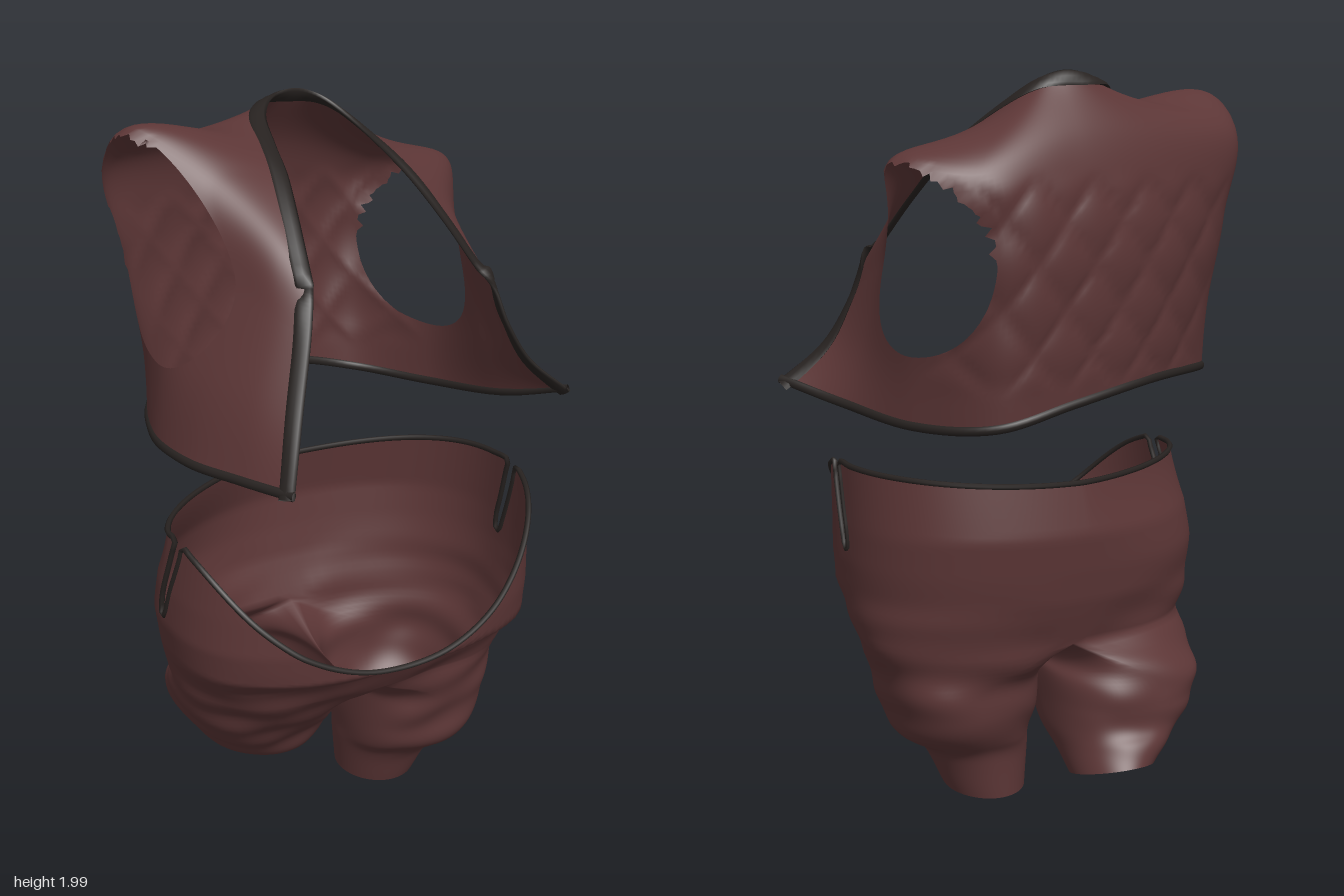
import * as THREE from 'three';
import { mergeGeometries, mergeVertices } from 'three/addons/utils/BufferGeometryUtils.js';

const { lerp, smoothstep, clamp } = THREE.MathUtils;
const V = (x, y, z) => new THREE.Vector3(x, y, z);
const spline = pts => new THREE.CatmullRomCurve3(pts, false, 'catmullrom', 0.5);
const hash = (a, b) => { const s = Math.sin(a * 127.1 + b * 311.7) * 43758.5; return s - Math.floor(s); };
const steps = n => Array.from({ length: n + 1 }, (_, i) => i / n);
const signedPow = (n, e) => Math.sign(n) * Math.abs(n) ** e;

// Grid surface from a rule at(s, t); cells may be skipped and the winding flipped
function sheet(ns, nt, at, { flip = false, gone = () => false } = {}) {
  const pos = [], idx = [];
  for (let j = 0; j <= nt; j++) for (let i = 0; i <= ns; i++) pos.push(...at(i / ns, j / nt).toArray());
  const tri = (...c) => {
    if (c.every(([i, j]) => gone(i / ns, j / nt))) return;
    const k = c.map(([i, j]) => j * (ns + 1) + i);
    idx.push(...(flip ? k.reverse() : k));
  };
  for (let j = 0; j < nt; j++) for (let i = 0; i < ns; i++) {
    tri([i, j], [i, j + 1], [i + 1, j]);
    tri([i + 1, j], [i, j + 1], [i + 1, j + 1]);
  }
  const g = new THREE.BufferGeometry();
  g.setAttribute('position', new THREE.Float32BufferAttribute(pos, 3));
  g.setIndex(idx);
  return g;
}

// Push the cloth along its normals to make folds or padding
function relief(g, height) {
  g.computeVertexNormals();
  const p = g.attributes.position, n = g.attributes.normal, a = V(0, 0, 0), b = V(0, 0, 0);
  for (let i = 0; i < p.count; i++) {
    a.fromBufferAttribute(p, i);
    b.fromBufferAttribute(n, i);
    a.addScaledVector(b, height(a));
    p.setXYZ(i, a.x, a.y, a.z);
  }
  g.computeVertexNormals();
  return g;
}

function addMesh(group, name, geometry, material) {
  const m = new THREE.Mesh(geometry, material);
  m.name = name;
  group.add(m);
}

// ---- Vest: rows run from the right front edge, round the back, to the left front edge
const hemRow = [[-.41, 1.17, .48], [-.48, 1.17, .33], [-.55, 1.17, .15], [-.56, 1.18, -.05], [-.47, 1.21, -.25], [-.22, 1.21, -.39],
  [.05, 1.17, -.45], [.26, 1.12, -.43], [.40, 1.11, -.24], [.49, 1.14, .02], [.60, 1.19, .20]];
const waistRow = [[-.345, 1.35, .40], [-.43, 1.36, .29], [-.50, 1.37, .14], [-.54, 1.38, -.04], [-.49, 1.4, -.25], [-.25, 1.4, -.40],
  [.04, 1.38, -.465], [.26, 1.34, -.45], [.40, 1.3, -.25], [.435, 1.3, .01], [.48, 1.29, .175]];
const chestRow = [[-.295, 1.5, .345], [-.345, 1.55, .26], [-.40, 1.6, .14], [-.53, 1.62, -.06], [-.53, 1.63, -.26], [-.28, 1.63, -.40],
  [.03, 1.62, -.47], [.275, 1.58, -.47], [.42, 1.54, -.28], [.40, 1.5, -.03], [.41, 1.4, .16]];
const shoulderRow = [[-.27, 1.58, .31], [-.30, 1.70, .20], [-.39, 1.84, .03], [-.555, 1.96, -.12], [-.53, 1.87, -.27], [-.25, 1.84, -.38],
  [.03, 1.83, -.43], [.31, 1.76, -.45], [.485, 1.775, -.31], [.37, 1.67, -.07], [.375, 1.5, .14]];
const neckRow = [[-.255, 1.63, .285], [-.225, 1.76, .15], [-.195, 1.845, .03], [-.17, 1.90, -.09], [-.135, 1.955, -.22], [-.06, 1.99, -.31],
  [.03, 1.995, -.32], [.11, 1.95, -.27], [.2, 1.82, -.1], [.27, 1.69, .02], [.34, 1.55, .11]];
const vestRows = [hemRow, waistRow, chestRow, shoulderRow, neckRow].map(r => spline(r.map(p => V(...p))));
const vestAt = (s, t) => spline(vestRows.map(c => c.getPoint(s))).getPoint(t);

// Armholes as ovals on the cloth: centre and radii in columns and rows, and the way to the back
const armholes = [{ u: 2.97, v: 2.02, ru: 1.02, rv: 1, back: 1 }, { u: 7.92, v: 2, ru: .9, rv: 1.02, back: -1 }];
const holeDistance = (h, s, t) =>
  (Math.abs((s * 10 - h.u) / h.ru) ** 2.3 + Math.abs((t * 4 - h.v) / h.rv) ** 2.3) ** (1 / 2.3);

function clothAt(s, t) {
  for (const h of armholes) {
    const d = holeDistance(h, s, t), du = s * 10 - h.u, dv = t * 4 - h.v;
    if (d < 1 && d > 1e-6) {
      // frayed at the shoulder and back, clean elsewhere
      const fray = dv > -.2 && du * h.back > -.3 ? .13 * hash(s * 160, t * 56) : 0;
      const k = (1 - fray) / d;
      return vestAt((h.u + du * k) / 10, (h.v + dv * k) / 4);
    }
  }
  return vestAt(s, t);
}

// Flat binding laid over a cloth edge; edge is a list of [s, t] on the vest
function binding(edge, halfWidth, halfThick) {
  const outer = edge.map(([s, t]) => vestAt(s, t));
  const frames = edge.map(([s, t], i) => {
    const inward = vestAt(clamp(s, .08, .92), clamp(t, .06, .93)).sub(outer[i]);
    const along = outer[Math.min(i + 1, outer.length - 1)].clone().sub(outer[Math.max(i - 1, 0)]).normalize();
    inward.addScaledVector(along, -inward.dot(along)).normalize();
    return { inward, normal: along.cross(inward) };
  });
  const n = edge.length - 1;
  return relief(sheet(n, 8, (s, t) => {
    const i = Math.round(s * n), a = t * 2 * Math.PI, { inward, normal } = frames[i];
    return outer[i].clone().addScaledVector(inward, halfWidth * (.8 + Math.cos(a)))
      .addScaledVector(normal, halfThick * Math.sin(a));
  }, { flip: true }), () => 0);
}

function buildVest(cloth, trim) {
  const vest = new THREE.Group();
  vest.name = 'vest';
  const body = sheet(160, 56, clothAt, { gone: (s, t) => armholes.some(h => holeDistance(h, s, t) < 1) });
  // diamond quilting on the back
  const quilt = p => {
    const w = smoothstep(-p.z, .25, .36) * smoothstep(p.y, 1.2, 1.28) * (1 - smoothstep(p.y, 1.68, 1.76));
    const a = Math.sin((p.x + p.y * .8) * 18), b = Math.sin((p.x - p.y * .8) * 18);
    return w * .012 * (Math.sqrt(Math.abs(a * b)) - .6);
  };
  addMesh(vest, 'vestCloth', relief(body, quilt), cloth);

  const opening = [
    ...steps(24).map(t => [0, t]),
    ...steps(70).slice(1, -1).map(s => [s, 1]),
    ...steps(24).map(t => [1, 1 - t])];
  addMesh(vest, 'frontAndNeckTrim', binding(opening, .023, .008), trim);
  addMesh(vest, 'vestHemTrim', binding(steps(80).map(s => [s, 0]), .012, .008), trim);
  return vest;
}

// ---- Breeches
const HIP_Y = .48, SLIT = .5, HALF = 48;
// outline by height: y, min x, max x, front z, back z
const outline = [[.48, -.56, .435, .325, -.265], [.56, -.58, .447, .375, -.29], [.61, -.59, .455, .45, -.305],
  [.70, -.603, .463, .458, -.32], [.80, -.595, .465, .455, -.332], [.98, -.565, .465, .445, -.30]];

function hipPoint(theta, v) {
  const sn = Math.sin(theta), cs = Math.cos(theta), q = Math.abs(sn) ** .75;
  const rimY = cs > 0 ? .61 + .35 * q ** 2.2 : .94 + .02 * q * q;
  const y = lerp(rimY + .012 * sn * q, HIP_Y, v);
  let k = 0;
  while (k < outline.length - 2 && y > outline[k + 1][0]) k++;
  const [lo, hi] = [outline[k], outline[k + 1]];
  const f = clamp((y - lo[0]) / (hi[0] - lo[0]), 0, 1);
  const [, x0, x1, zf, zb] = lo.map((n, i) => lerp(n, hi[i], f));
  // full at the front, the right back corner slimmer towards the waist
  const e = cs > 0 ? .75 : sn > 0 ? .88 : lerp(.95, 1.3, smoothstep(y, .65, .95));
  return V((x0 + x1) / 2 + signedPow(sn, e) * (x1 - x0) / 2, y, (zf + zb) / 2 + signedPow(cs, e) * (zf - zb) / 2);
}

// Hip panels meet at slanting side seams, parted at the top by a narrow slit
const seam = t => Math.PI / 2 - .09 * Math.max(0, 1 - t / SLIT);
const slit = t => .045 * Math.sqrt(Math.max(0, 1 - t / SLIT));
const frontAt = (s, t) => hipPoint((2 * s - 1) * (seam(t) - slit(t)), t);
const backAt = (s, t) => hipPoint(Math.PI + (2 * s - 1) * (Math.PI - seam(t) - slit(t)), t);

// Leg sections: y, centre x, centre z, radius x, radius z, slope along z, roundness (1 = oval, less = fuller corners)
const leftLeg = [[.36, .165, .035, .224, .25, 0, .78], [.27, .152, .033, .207, .238, 0, .8], [.19, .14, .045, .187, .208, 0, .85],
  [.13, .105, .02, .148, .165, 0, .95], [.015, .085, 0, .114, .137, .03, 1]];
const rightLeg = [[.36, -.286, -.065, .232, .275, 0, .78], [.27, -.268, -.115, .21, .24, -.05, .82], [.2, -.245, -.15, .185, .21, -.12, .88],
  [.15, -.22, -.21, .152, .165, -.25, .95], [.1, -.185, -.27, .115, .13, -.32, 1]];

function legGeometry(side, sections) {
  const front = hipPoint(0, 1), back = hipPoint(Math.PI, 1), curves = [];
  for (let j = 0; j <= 2 * HALF; j++) {
    const a = Math.PI * j / HALF, sn = Math.sin(a), cs = Math.cos(a);
    // outer half follows the hip, inner half sags along the crotch
    let top = hipPoint(side * a, 1);
    if (j > HALF) {
      top = back.clone().lerp(front, j / HALF - 1);
      top.y += .09 * sn;
    }
    curves.push(spline([top, ...sections.map(([y, cx, cz, rx, rz, slope, e]) => {
      const c = signedPow(cs, e);
      return V(cx + side * rx * signedPow(sn, e), y + slope * rz * c, cz + rz * c);
    })]));
  }
  return sheet(2 * HALF, 40, (s, t) => curves[Math.round(s * 2 * HALF)].getPoint(t), { flip: side < 0 });
}

function buildBreeches(cloth, trim) {
  const breeches = new THREE.Group();
  breeches.name = 'breeches';
  const body = mergeVertices(mergeGeometries([
    sheet(HALF, 28, frontAt), sheet(HALF, 28, backAt), legGeometry(1, leftLeg), legGeometry(-1, rightLeg)]), 1e-4);
  // soft folds fanning out from the crotch, with a gathered edge above the knee
  const folds = p => {
    const out = Math.abs(p.x + .06);
    const w = smoothstep(p.y, .1, .2) * (1 - smoothstep(p.y, .42, .7)) * smoothstep(out, .03, .12);
    const fan = p.y * 26 - out * 15 + Math.sin(p.z * 7 + p.x * 4) * 1.5;
    return w * (.0055 * Math.sin(fan) + .003 * Math.sin(p.y * 55 + p.z * 12 - p.x * 9));
  };
  addMesh(breeches, 'breechesCloth', relief(body, folds), cloth);

  // trim runs along the waist and down into both side slits
  const path = [];
  for (const at of [frontAt, backAt]) {
    for (let i = 0; i < 5; i++) path.push(at(0, SLIT * (.96 - i / 5)));
    for (const s of steps(30)) path.push(at(s, 0));
    for (let i = 1; i <= 5; i++) path.push(at(1, SLIT * (i / 5 - .04)));
  }
  addMesh(breeches, 'waistTrim', new THREE.TubeGeometry(new THREE.CatmullRomCurve3(path, true), 180, .008, 6, true), trim);
  return breeches;
}

export function createModel() {
  const cloth = new THREE.MeshStandardMaterial({ color: 0x5c3636, side: THREE.DoubleSide });
  cloth.name = 'maroon cloth';
  const trim = new THREE.MeshStandardMaterial({ color: 0x272220, side: THREE.DoubleSide });
  trim.name = 'dark trim';
  const model = new THREE.Group();
  model.name = 'outfit';
  model.add(buildVest(cloth, trim), buildBreeches(cloth, trim));
  return model;
}
